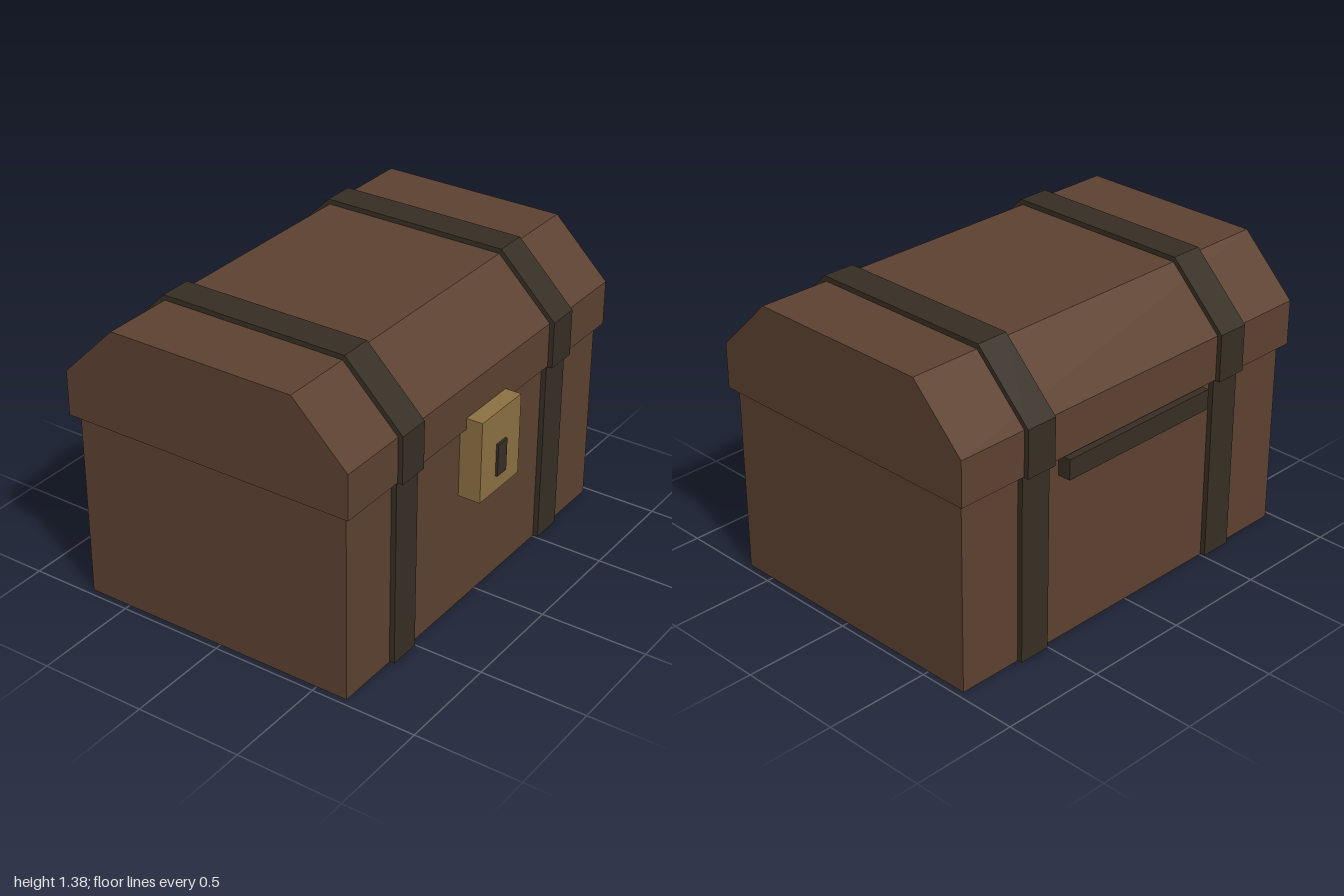
import * as THREE from 'three';

const material = (name, color) => {
  const m = new THREE.MeshStandardMaterial({ color });
  m.name = name;
  return m;
};

export function createModel() {
  const chest = new THREE.Group();
  chest.name = 'chest';

  const wood = material('brown wood', 0x5c4130);
  const iron = material('dark iron', 0x362e24);
  const brass = material('dull brass', 0x8b7042);

  const add = (name, geometry, mat) => {
    const mesh = new THREE.Mesh(geometry, mat);
    mesh.name = name;
    chest.add(mesh);
  };

  // box given by its extents on each axis
  const box = (name, mat, [x0, x1], [y0, y1], [z0, z1]) => {
    const g = new THREE.BoxGeometry(x1 - x0, y1 - y0, z1 - z0);
    g.translate((x0 + x1) / 2, (y0 + y1) / 2, (z0 + z1) / 2);
    add(name, g, mat);
  };

  // side profile of [z, y] points, extruded along x
  const slab = (name, mat, points, width, x) => {
    const shape = new THREE.Shape(points.map(([z, y]) => new THREE.Vector2(z, y)));
    const g = new THREE.ExtrudeGeometry(shape, { depth: width, bevelEnabled: false });
    g.translate(0, 0, -width / 2).rotateY(-Math.PI / 2).translate(x, 0, 0);
    add(name, g, mat);
  };

  // wooden body and chamfered lid
  box('body', wood, [-0.97, 0.97], [0, 0.9], [-0.705, 0.65]);
  slab('lid', wood, [
    [-0.74, 0.89], [0.68, 0.89], [0.68, 1.1],
    [0.415, 1.36], [-0.48, 1.36], [-0.74, 1.1],
  ], 2, 0);

  // iron straps around body and lid
  for (const [side, x] of [['left', 0.583], ['right', -0.583]]) {
    box(`${side}BodyStrap`, iron, [x - 0.077, x + 0.077], [0.003, 0.895], [-0.73, 0.675]);
    slab(`${side}LidStrap`, iron, [
      [-0.762, 0.887], [0.703, 0.887], [0.703, 1.108],
      [0.425, 1.383], [-0.487, 1.383], [-0.762, 1.108],
    ], 0.154, x);
  }

  // lock on the front, hinge on the back
  box('lockPlate', brass, [-0.153, 0.153], [0.557, 0.943], [0.64, 0.757]);
  box('keyhole', iron, [-0.035, 0.035], [0.633, 0.788], [0.74, 0.768]);
  box('hinge', iron, [-0.428, 0.428], [0.79, 0.885], [-0.768, -0.69]);

  return chest;
}
